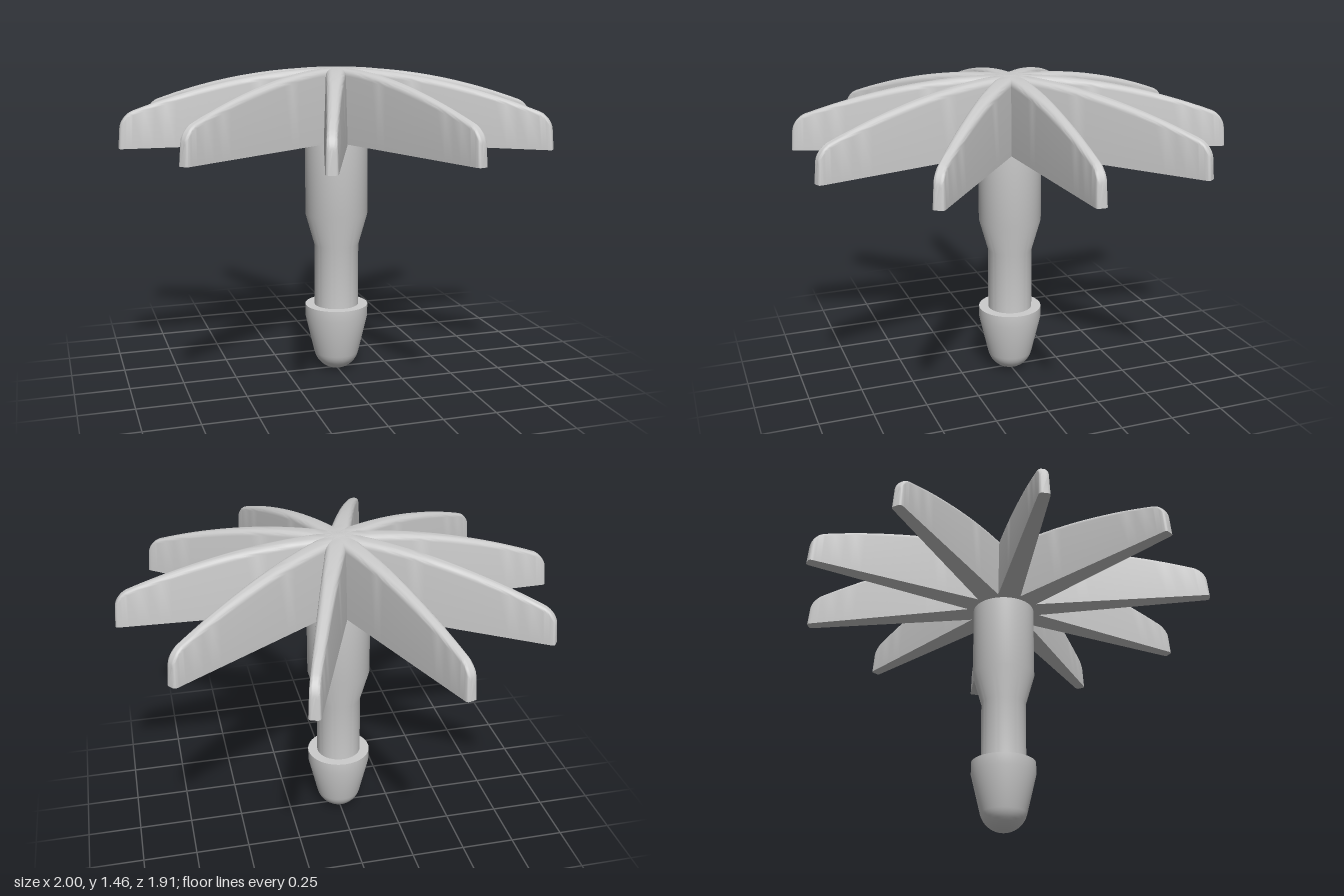
import * as THREE from 'three';
import { toCreasedNormals } from 'three/addons/utils/BufferGeometryUtils.js';

const BLADES = 10, BASE = 1.12;
const material = new THREE.MeshStandardMaterial({ color: 0xcccccc });

// One cross-section of a blade: flat bottom, drafted sides, filleted top edges
function bladeSection(r, top, inset) {
  const wBottom = 0.06 - 0.035 * r - inset;
  const wTop = wBottom - 0.03 * (top - BASE);
  const f = Math.min(0.026, wTop * 0.85);
  const half = [[BASE, wBottom]];
  for (let i = 0; i <= 5; i++) {
    const a = (i / 5) * Math.PI / 2;
    half.push([top - f + f * Math.sin(a), wTop - f + f * Math.cos(a)]);
  }
  const loop = [...half, ...half.slice().reverse().map(([y, z]) => [y, -z])];
  // the end face leans in slightly towards the top
  return loop.map(([y, z]) => [r * (1 - 0.08 * (y - BASE)), y, z]);
}

// Blade running from the centre out along +x
function bladeGeometry() {
  const corner = 0.055, edge = 0.015, rows = [];
  const radii = [];
  for (let i = 0; i <= 20; i++) radii.push((i / 20) * (1 - corner));
  for (let i = 1; i <= 10; i++) radii.push(1 - corner + corner * Math.sin((i / 10) * Math.PI / 2));
  for (const r of radii) {
    const c = Math.max(0, r - (1 - corner)), e = Math.max(0, r - (1 - edge));
    const drop = corner - Math.sqrt(Math.max(0, corner * corner - c * c));
    const inset = edge - Math.sqrt(Math.max(0, edge * edge - e * e));
    rows.push(bladeSection(r, 1.455 - 0.19 * r * r - drop, inset * 0.8));
  }
  const n = rows[0].length, index = [];
  for (let i = 0; i < rows.length - 1; i++) {
    for (let k = 0; k < n; k++) {
      const a = i * n + k, b = i * n + (k + 1) % n;
      index.push(a, a + n, b, b, a + n, b + n);
    }
  }
  // outer end cap
  const last = (rows.length - 1) * n;
  for (let k = 1; k < n - 1; k++) index.push(last, last + k + 1, last + k);
  const g = new THREE.BufferGeometry();
  g.setAttribute('position', new THREE.Float32BufferAttribute(rows.flat(2), 3));
  g.setIndex(index);
  return toCreasedNormals(g, 0.6);
}

// Turned shaft with a rounded, barbed tip
function shaftGeometry() {
  const pts = [];
  for (let i = 0; i <= 10; i++) {
    const a = (i / 10) * THREE.MathUtils.degToRad(76);
    pts.push([0.11 * Math.sin(a), 0.11 - 0.11 * Math.cos(a)]);
  }
  pts.push([0.15, 0.27], [0.15, 0.325], [0.105, 0.325], [0.105, 0.62],
    [0.147, 0.77], [0.147, BASE + 0.02], [0, BASE + 0.02]);
  const g = new THREE.LatheGeometry(pts.map(([x, y]) => new THREE.Vector2(x, y)), 64);
  return toCreasedNormals(g, 0.4);
}

export function createModel() {
  const model = new THREE.Group();
  model.name = 'finnedPlug';

  const shaft = new THREE.Mesh(shaftGeometry(), material);
  shaft.name = 'shaft';
  model.add(shaft);

  const head = new THREE.Group();
  head.name = 'head';
  const geometry = bladeGeometry();
  for (let i = 0; i < BLADES; i++) {
    const blade = new THREE.Mesh(geometry, material);
    blade.name = `blade${i + 1}`;
    blade.rotation.y = (i / BLADES) * Math.PI * 2;
    head.add(blade);
  }
  model.add(head);
  return model;
}
